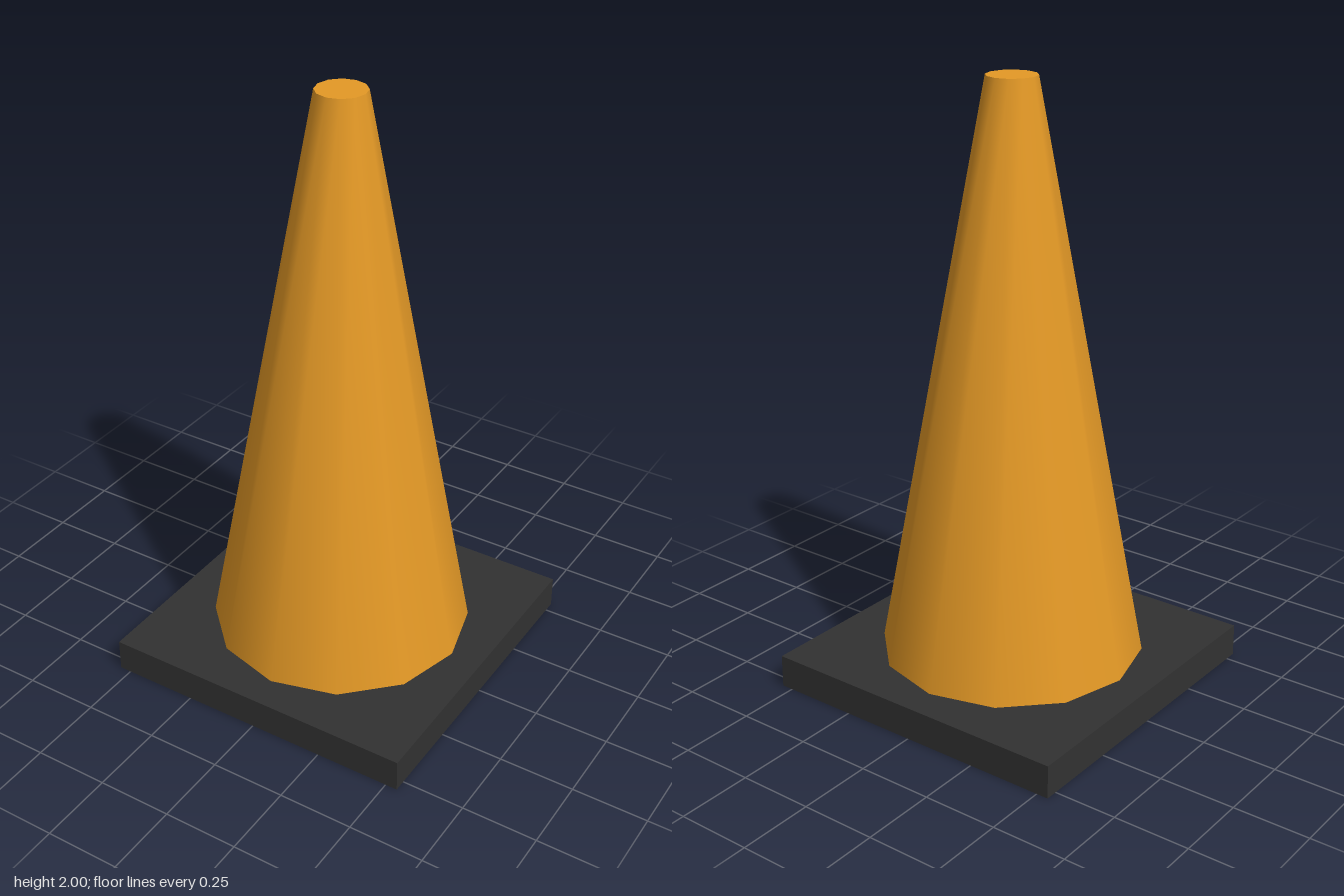
import * as THREE from 'three';

export function createModel() {
  const orange = new THREE.MeshStandardMaterial({ color: 0xe49926 });
  orange.name = 'orange';
  const darkGrey = new THREE.MeshStandardMaterial({ color: 0x323232 });
  darkGrey.name = 'darkGrey';

  const model = new THREE.Group();
  model.name = 'trafficCone';

  const baseHeight = 0.11;
  const baseWidth = 1.08;
  const coneHeight = 2 - baseHeight;

  // Square rubber base
  const base = new THREE.Mesh(new THREE.BoxGeometry(baseWidth, baseHeight, baseWidth), darkGrey);
  base.name = 'base';
  base.position.y = baseHeight / 2;
  model.add(base);

  // Twelve-sided tapered body with a flat top
  const cone = new THREE.Mesh(new THREE.CylinderGeometry(0.081, 0.433, coneHeight, 12), orange);
  cone.name = 'coneBody';
  cone.position.y = baseHeight + coneHeight / 2;
  model.add(cone);

  return model;
}
